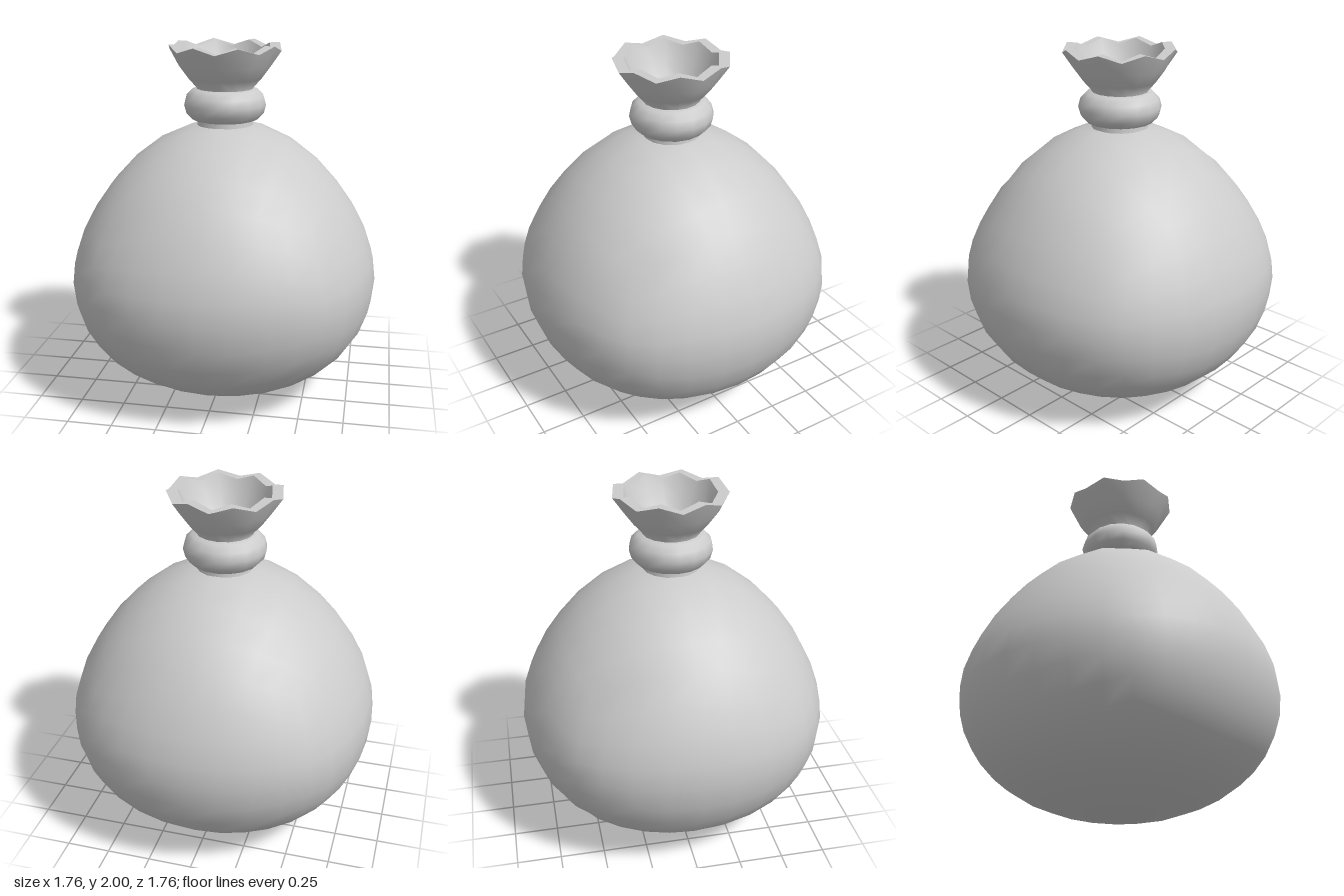
import * as THREE from 'three';
import { mergeVertices } from 'three/addons/utils/BufferGeometryUtils.js';

const material = new THREE.MeshStandardMaterial({ color: 0xcccccc });

function part(name, geometry) {
  const mesh = new THREE.Mesh(geometry, material);
  mesh.name = name;
  return mesh;
}

// Rounded cube grid, flattened below and drawn up towards the neck
function sackGeometry() {
  let geo = new THREE.BoxGeometry(2, 2, 2, 8, 8, 8);
  geo.deleteAttribute('normal');
  geo.deleteAttribute('uv');
  geo = mergeVertices(geo);
  const pos = geo.attributes.position;
  const p = new THREE.Vector3();
  const spread = (u) => 0.86 * u + 0.14 * u ** 3;
  for (let i = 0; i < pos.count; i++) {
    p.fromBufferAttribute(pos, i);
    p.set(spread(p.x), spread(p.y), spread(p.z)).normalize();
    const squareness = 1 - (p.x ** 4 + p.y ** 4 + p.z ** 4);
    p.multiplyScalar(0.88 * (1 + 0.058 * squareness));
    const t = p.y;
    p.y = 0.67 + t * (t < 0 ? 0.76 : 0.66 + 0.05 * t + 0.42 * t * t);
    pos.setXYZ(i, p.x, p.y, p.z);
  }
  geo.computeVertexNormals();
  return geo;
}

// Turned strip whose rim points dip at every second segment
function frillGeometry(profile) {
  const geo = new THREE.LatheGeometry(profile.map(([r, y]) => new THREE.Vector2(r, y)), 16);
  const pos = geo.attributes.position;
  for (let i = 0; i < pos.count; i++) {
    const segment = Math.floor(i / profile.length);
    if (pos.getY(i) > 1.99 && segment % 2 === 0) pos.setY(i, 1.965);
  }
  return geo;
}

export function createModel() {
  const model = new THREE.Group();
  model.name = 'tiedSack';

  model.add(part('sackBody', sackGeometry()));

  // Tie around the neck
  const tie = part('neckTie', new THREE.TorusGeometry(0.138, 0.095, 12, 16));
  tie.rotation.x = Math.PI / 2;
  tie.position.y = 1.665;
  model.add(tie);

  // Gathered opening: outer wall, flat scalloped rim, inner wall
  const opening = new THREE.Group();
  opening.name = 'sackOpening';
  opening.add(
    part('openingOuterWall', frillGeometry([[0.16, 1.55], [0.145, 1.66], [0.16, 1.76], [0.205, 1.81], [0.26, 1.885], [0.315, 2]])),
    part('openingRim', frillGeometry([[0.315, 2], [0.255, 2]])),
    part('openingInnerWall', frillGeometry([[0.255, 2], [0.215, 1.9], [0.165, 1.82], [0.125, 1.76], [0.12, 1.66], [0.125, 1.55]])),
  );
  model.add(opening);

  return model;
}
